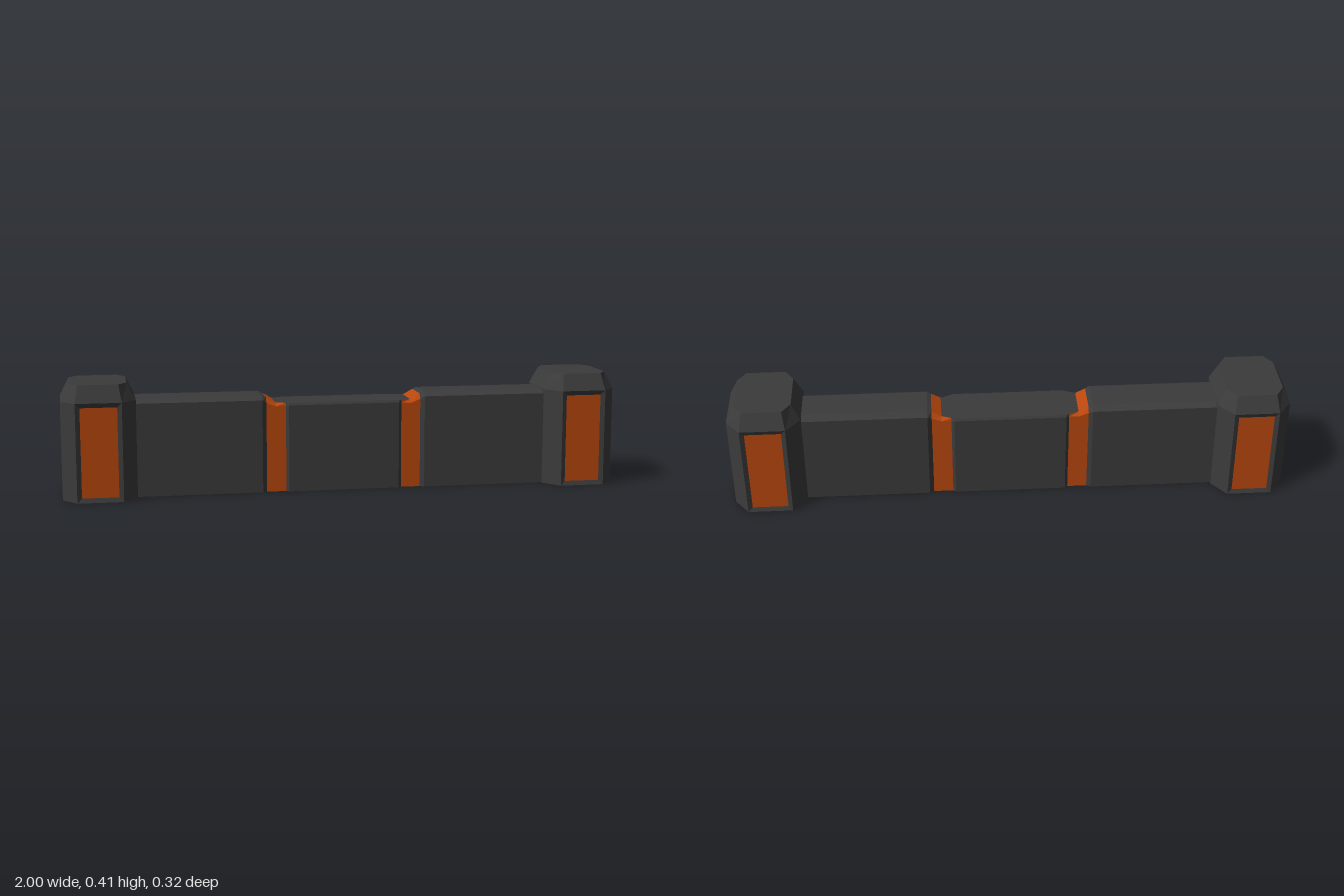
import * as THREE from 'three';

const dark = new THREE.MeshStandardMaterial({ color: 0x3b3b3b });
dark.name = 'dark grey';
const orange = new THREE.MeshStandardMaterial({ color: 0xba470d });
orange.name = 'orange';

// Collects flat polygons (corners counter-clockwise from outside) into one mesh
class Faces {
  constructor() { this.points = []; }
  add(...c) {
    for (let i = 1; i < c.length - 1; i++) this.points.push(c[0], c[i], c[i + 1]);
  }
  mesh(name, material) {
    const geometry = new THREE.BufferGeometry().setFromPoints(this.points);
    geometry.computeVertexNormals();
    const mesh = new THREE.Mesh(geometry, material);
    mesh.name = name;
    return mesh;
  }
}

const V = (x, y, z) => new THREE.Vector3(x, y, z);

// Eight-sided end post with a bevelled cap and recessed panels on three sides
function createPost() {
  const body = new Faces(), panels = new Faces();
  const octagon = (hx, hz, cx, cz, y) => [
    [-cx, hz], [cx, hz], [hx, cz], [hx, -cz],
    [cx, -hz], [-cx, -hz], [-hx, -cz], [-hx, cz],
  ].map(([x, z]) => V(x, y, z));
  const low = octagon(0.13, 0.16, 0.08, 0.095, 0);
  const mid = octagon(0.13, 0.16, 0.08, 0.095, 0.348);
  const top = octagon(0.1, 0.13, 0.07, 0.083, 0.408);

  for (let j = 0; j < 8; j++) {
    const k = (j + 1) % 8;
    const outer = [low[j], low[k], mid[k], mid[j]];
    body.add(mid[j], mid[k], top[k], top[j]);
    if (j !== 0 && j !== 2 && j !== 4) {
      body.add(...outer);
      continue;
    }
    // Sloped frame around a slightly sunken panel
    const along = low[k].clone().sub(low[j]).normalize();
    const inward = V(along.z, 0, -along.x).multiplyScalar(-1);
    if (inward.dot(low[j]) > 0) inward.negate();
    const inner = outer.map((p, i) => p.clone()
      .addScaledVector(along, i === 0 || i === 3 ? 0.016 : -0.016)
      .addScaledVector(inward, 0.006)
      .add(V(0, i < 2 ? 0.016 : -0.016, 0)));
    for (let i = 0; i < 4; i++) {
      const n = (i + 1) % 4;
      body.add(outer[i], outer[n], inner[n], inner[i]);
    }
    panels.add(...inner);
  }
  body.add(...top);
  body.add(...low.slice().reverse());

  const post = new THREE.Group();
  post.add(body.mesh('postBody', dark), panels.mesh('postPanels', orange));
  return post;
}

// Low wall lofted along x, with two coloured grooves between its segments
function createWall() {
  const body = new Faces(), bands = new Faces();
  // x, half width, shoulder height, half width of the top, top height
  const half = [
    [0.2, 0.085, 0.312, 0.08, 0.32],
    [0.21, 0.076, 0.31, 0.074, 0.32],
    [0.245, 0.076, 0.308, 0.06, 0.32],
    [0.28, 0.076, 0.322, 0.058, 0.34],
    [0.295, 0.085, 0.332, 0.062, 0.346],
    [0.76, 0.085, 0.332, 0.062, 0.346],
  ];
  const sections = [...half.map(([x, ...r]) => [-x, ...r]).reverse(), ...half];
  const rings = sections.map(([x, w, s, t, h]) => [
    V(x, 0, w), V(x, s, w), V(x, h, t), V(x, h, -t), V(x, s, -w), V(x, 0, -w),
  ]);
  for (let i = 0; i < rings.length - 1; i++) {
    const a = rings[i], b = rings[i + 1];
    const middle = Math.abs(a[0].x + b[0].x) / 2;
    const groove = middle > 0.21 && middle < 0.28;
    for (let j = 0; j < 6; j++) {
      const k = (j + 1) % 6;
      const dip = j === 2 && middle < 0.245;
      const coloured = groove && j !== 5 && !dip;
      (coloured ? bands : body).add(a[j], b[j], b[k], a[k]);
    }
  }
  const wall = new THREE.Group();
  wall.name = 'wall';
  wall.add(body.mesh('wallSegments', dark), bands.mesh('grooveBands', orange));
  return wall;
}

export function createModel() {
  const model = new THREE.Group();
  model.name = 'barrier';
  model.add(createWall());
  for (const side of [1, -1]) {
    const post = createPost();
    post.name = side > 0 ? 'leftPost' : 'rightPost';
    post.position.x = side * 0.87;
    if (side < 0) post.rotation.y = Math.PI;
    model.add(post);
  }
  return model;
}
